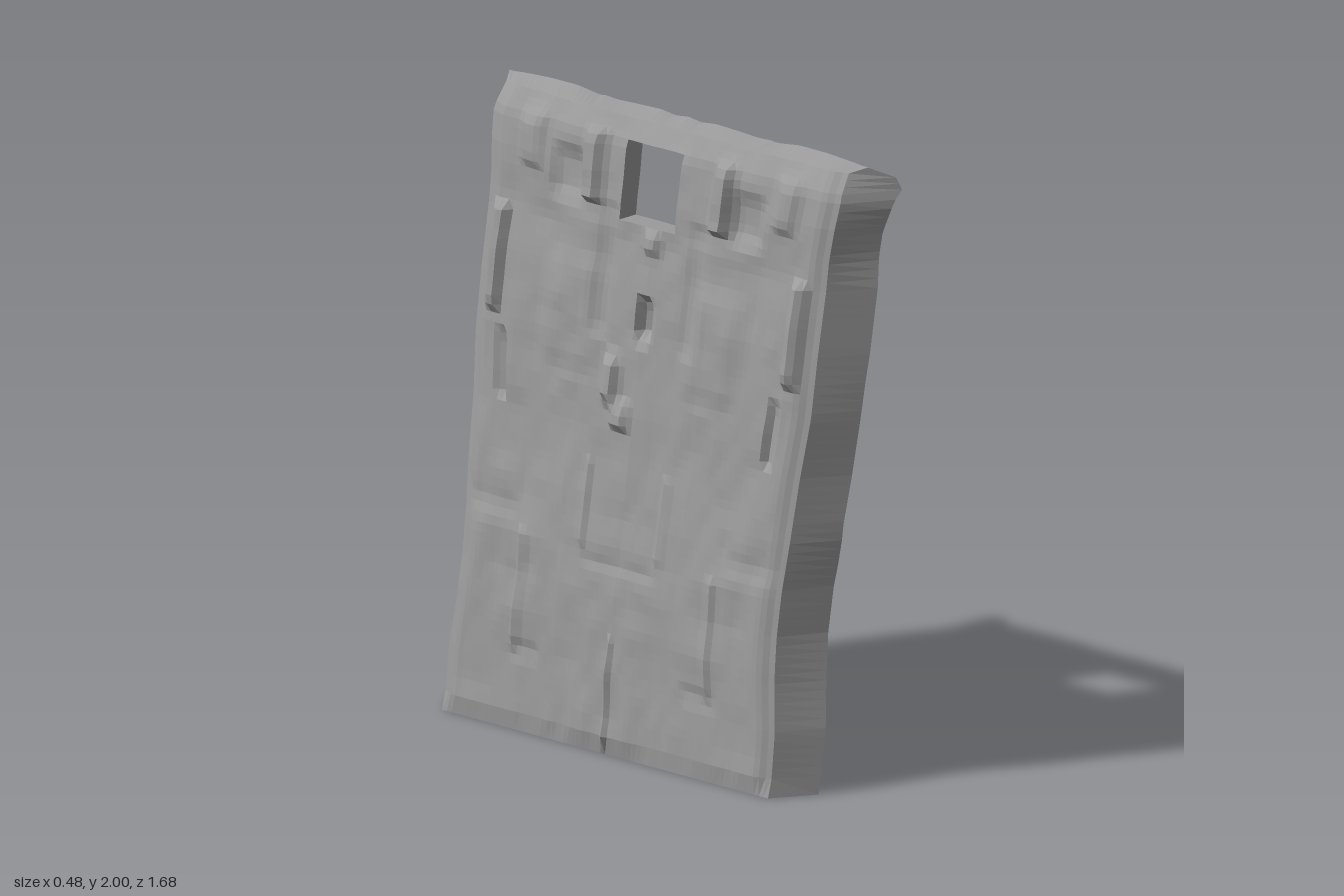
import * as THREE from 'three';

const mat = new THREE.MeshStandardMaterial({ color: 0x9b9b9b, flatShading: true, side: THREE.DoubleSide });

// Piecewise linear lookup: pairs of [y, value]
const curve = (pairs) => (y) => {
  for (let i = 1; i < pairs.length; i++) {
    const [a, va] = pairs[i - 1], [b, vb] = pairs[i];
    if (y <= b) return va + (vb - va) * Math.max(0, (y - a) / (b - a));
  }
  return pairs[pairs.length - 1][1];
};

// Leaning wall profile, its half width, and the free edge of the side flanges
const wallX = curve([[0.06, -0.226], [0.4, -0.19], [0.6, -0.163], [0.8, -0.133], [1, -0.099],
  [1.2, -0.068], [1.4, -0.039], [1.6, -0.004], [1.8, 0.022], [1.9, 0.043], [1.97, 0.088]]);
const wallZ = curve([[0, 0.7], [0.2, 0.7], [0.35, 0.683], [0.5, 0.675], [0.65, 0.678], [0.8, 0.69], [1, 0.7],
  [1.2, 0.72], [1.7, 0.725], [1.88, 0.745], [1.97, 0.735]]);
const lipX = curve([[0, -0.08], [0.5, 0], [0.72, 0.03], [0.85, 0.04], [1, 0.07], [1.3, 0.11], [1.65, 0.17],
  [1.87, 0.205], [1.91, 0.24], [1.95, 0.228], [1.985, 0.16]]);
const lipZ = curve([[0, 0.785], [0.2, 0.785], [0.35, 0.765], [0.5, 0.75], [0.65, 0.755], [0.8, 0.775], [1, 0.785],
  [1.2, 0.8], [1.4, 0.81], [1.6, 0.81], [1.7, 0.8], [1.78, 0.805], [1.85, 0.83], [1.91, 0.84], [1.95, 0.825], [1.985, 0.77]]);

// Blocky rock relief: seeded values on a coarse lattice, blended linearly
const hash = (i, j) => {
  const s = Math.sin(i * 127.1 + j * 311.7) * 43758.5453;
  return (s - Math.floor(s)) * 2 - 1;
};
function noise(u, v) {
  const i = Math.floor(u), j = Math.floor(v), { lerp } = THREE.MathUtils;
  return lerp(lerp(hash(i, j), hash(i + 1, j), u - i), lerp(hash(i, j + 1), hash(i + 1, j + 1), u - i), v - j);
}

// Carved reliefs: centre z, centre y, half width, half height, depth along x, edge softness
const both = (z, ...r) => [[z, ...r], [-z, ...r]];
const reliefs = [
  ...both(0.27, 1.81, 0.035, 0.11, -0.035, 0.016), ...both(0.53, 1.84, 0.04, 0.08, -0.02, 0.025),
  ...both(0.38, 1.76, 0.06, 0.07, 0.02, 0.03), ...both(0.635, 1.46, 0.025, 0.16, -0.035, 0.014),
  ...both(0.585, 1.12, 0.01, 0.1, 0.035, 0.014), ...both(0.3, 1.35, 0.1, 0.16, -0.015, 0.05),
  ...both(0.43, 0.45, 0.012, 0.19, -0.014, 0.02), ...both(0.38, 0.26, 0.06, 0.02, 0.008, 0.025),
  ...both(0.58, 0.7, 0.1, 0.03, 0.008, 0.03), ...both(0.19, 1.5, 0.03, 0.2, 0.012, 0.025),
  ...both(0.175, 0.77, 0.008, 0.14, -0.014, 0.016), [0, 0.6, 0.16, 0.015, 0.008, 0.025],
  [0, 1.37, 0.025, 0.06, 0.045, 0.016], [0, 1.61, 0.03, 0.03, -0.02, 0.016],
  [-0.11, 1.17, 0.03, 0.07, -0.03, 0.016], [-0.06, 1.06, 0.04, 0.04, -0.025, 0.016],
  [0, 0.2, 0.006, 0.18, -0.016, 0.014],
];
const step = (d, soft) => 1 - THREE.MathUtils.smoothstep(d, -soft, soft);
function surface(u, y) {
  const a = Math.abs(u);
  let x = wallX(y) + (0.008 * noise(a * 11, y * 8) + 0.003 * noise(u * 20 + 40, y * 15)) * step(a - 0.66, 0.06);
  for (const [z, cy, w, h, d, s] of reliefs) x += d * step(Math.abs(u - z) - w, s) * step(Math.abs(y - cy) - h, s);
  x += 0.022 * THREE.MathUtils.smoothstep(a, 0.66, 0.72);
  return [x, y, u * wallZ(y) / 0.72];
}

// Quad sheet through equal-length rows of points, with optional cells left out
function sheet(name, rows, skip = () => false) {
  const n = rows[0].length, index = [];
  for (let i = 0; i < rows.length - 1; i++) for (let j = 0; j < n - 1; j++) {
    if (skip(i, j)) continue;
    const a = i * n + j, b = a + 1, c = a + n, d = c + 1;
    index.push(a, c, b, b, c, d);
  }
  const g = new THREE.BufferGeometry();
  g.setAttribute('position', new THREE.Float32BufferAttribute(rows.flat(2), 3));
  g.setIndex(index);
  g.computeVertexNormals();
  const m = new THREE.Mesh(g, mat);
  m.name = name;
  return m;
}

// Evenly divided stations between fixed stops
function stations(stops, size) {
  const out = [stops[0]];
  for (let i = 1; i < stops.length; i++) {
    const a = stops[i - 1], b = stops[i], n = Math.ceil((b - a) / size);
    for (let k = 1; k < n; k++) out.push(a + (b - a) * k / n);
    out.push(b);
  }
  return out;
}

export function createModel() {
  const group = new THREE.Group();
  group.name = 'wallPanel';
  const win = { z0: -0.15, z1: 0.085, y0: 1.66, y1: 1.91 };
  const us = stations([-0.72, win.z0, 0, win.z1, 0.72], 0.021);
  const ys = stations([0.06, win.y0, win.y1, 1.95, 1.97], 0.03);

  // Leaning carved wall with the window left open
  group.add(sheet('wall', ys.map((y) => us.map((u) => surface(u, y))), (i, j) =>
    ys[i] >= win.y0 && ys[i] < win.y1 && us[j] >= win.z0 && us[j] < win.z1));

  // Deep window reveal, its head sloping up toward the inside
  const rim = [];
  const inY = ys.filter((y) => y >= win.y0 && y <= win.y1), inU = us.filter((u) => u >= win.z0 && u <= win.z1);
  inU.forEach((u) => rim.push(surface(u, win.y0)));
  inY.slice(1).forEach((y) => rim.push(surface(win.z1, y)));
  inU.slice(0, -1).reverse().forEach((u) => rim.push(surface(u, win.y1)));
  inY.slice(0, -1).reverse().forEach((y) => rim.push(surface(win.z0, y)));
  group.add(sheet('windowReveal', [rim, rim.map(([x, y, z]) => [x + 0.075, y === win.y1 ? y + 0.05 : y, z])]));

  // Splayed side flanges
  for (const s of [1, -1]) {
    const inner = ys.map((y) => surface(0.72 * s, y));
    const outer = ys.map((y) => {
      const t = y === 1.97 ? 1.985 : y;
      return [lipX(t), t, lipZ(t) * s];
    });
    inner.unshift([-0.22, 0, 0.7 * s]);
    outer.unshift([-0.08, 0, 0.785 * s]);
    group.add(sheet(s > 0 ? 'leftFlange' : 'rightFlange', [inner, outer]));
  }

  // Flat foot flange and uneven top flange
  group.add(sheet('footFlange', [
    us.map((u) => surface(u, 0.06)),
    us.map((u) => [-0.22, 0, u * 0.7 / 0.72]),
    us.map((u) => [-0.08, 0, u * 0.785 / 0.72]),
  ]));
  group.add(sheet('topFlange', [
    us.map((u) => surface(u, 1.97)),
    us.map((u) => [0.16, 1.985 + 0.012 * Math.abs(noise(Math.abs(u) * 9, 7)), u * 0.77 / 0.72]),
  ]));
  return group;
}
